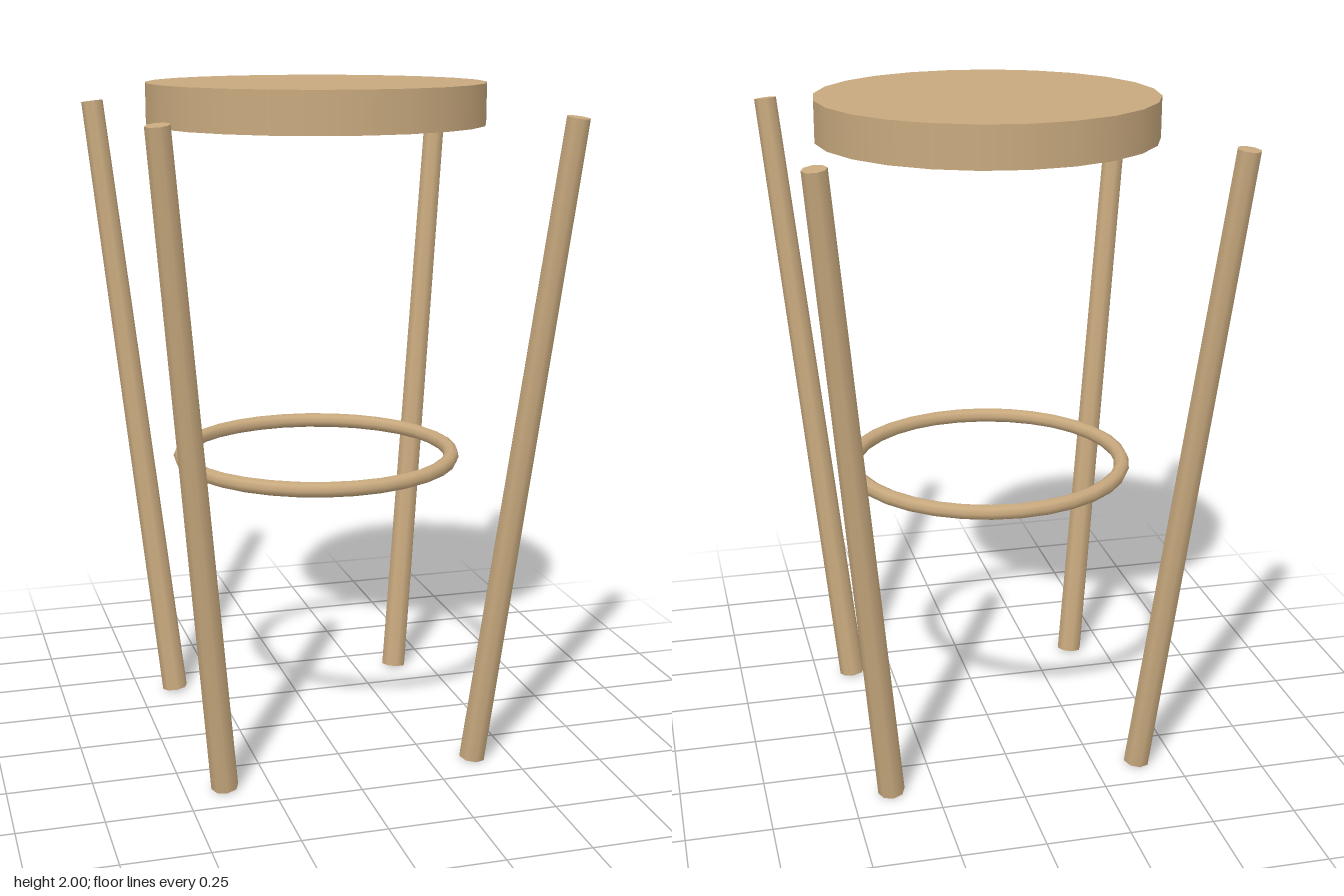
import * as THREE from 'three';

export function createModel() {
  const stool = new THREE.Group();
  stool.name = 'stool';
  const wood = new THREE.MeshStandardMaterial({ color: 0xc8a97e });

  const add = (name, geometry) => {
    const mesh = new THREE.Mesh(geometry, wood);
    mesh.name = name;
    stool.add(mesh);
    return mesh;
  };

  // Round seat
  add('seat', new THREE.CylinderGeometry(0.497, 0.497, 0.12, 24)).position.y = 1.94;

  // Ring-shaped footrest
  const footrest = add('footrest', new THREE.TorusGeometry(0.412, 0.023, 8, 32));
  footrest.rotation.x = Math.PI / 2;
  footrest.position.y = 0.886;

  // Four tapered legs, splayed outwards towards the top
  const up = new THREE.Vector3(0, 1, 0);
  for (const [sz, end] of [[1, 'front'], [-1, 'back']]) {
    for (const [sx, side] of [[1, 'Left'], [-1, 'Right']]) {
      const foot = new THREE.Vector3(0.383 * sx, 0.005, 0.383 * sz);
      const top = new THREE.Vector3(0.573 * sx, 1.923, 0.573 * sz);
      const axis = top.clone().sub(foot);
      const leg = add(`${end}${side}Leg`, new THREE.CylinderGeometry(0.034, 0.04, axis.length(), 8));
      leg.position.copy(foot).add(top).multiplyScalar(0.5);
      leg.quaternion.setFromUnitVectors(up, axis.normalize());
    }
  }
  return stool;
}
